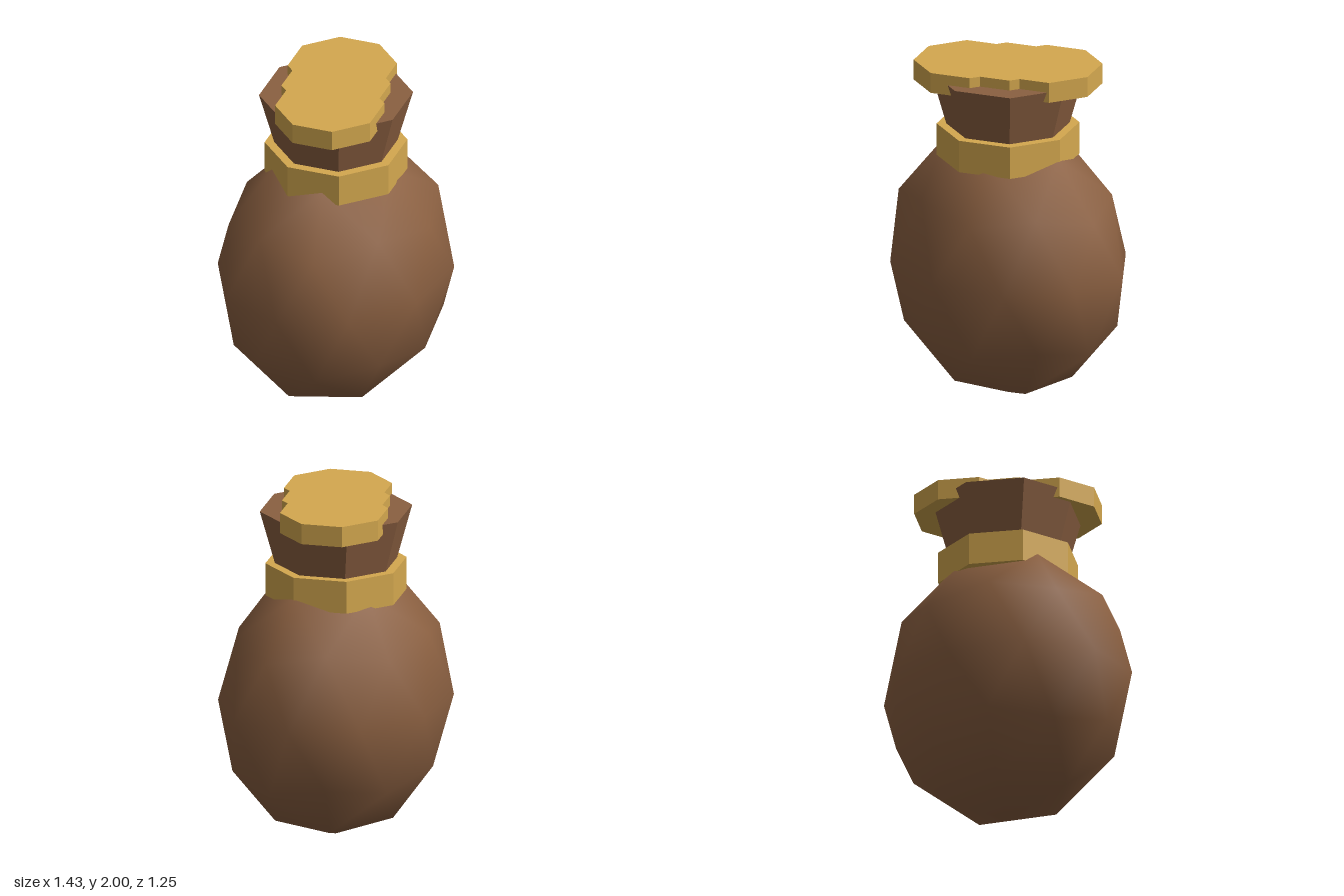
import * as THREE from 'three';

export function createModel() {
  const model = new THREE.Group();
  model.name = 'coinPouch';

  const leather = new THREE.MeshStandardMaterial({ color: 0x8b6041 });
  leather.name = 'brown leather';
  const gold = new THREE.MeshStandardMaterial({ color: 0xd4a84f });
  gold.name = 'gold';

  const add = (name, geometry, material, x = 0, y = 0, z = 0) => {
    const mesh = new THREE.Mesh(geometry, material);
    mesh.name = name;
    mesh.position.set(x, y, z);
    model.add(mesh);
  };

  // Octagonal prism or taper with corners on the axes and flat faces
  const octagon = (rTop, rBottom, height) => {
    const g = new THREE.CylinderGeometry(rTop, rBottom, height, 8).toNonIndexed();
    g.computeVertexNormals();
    return g;
  };

  // Round sack: icosphere turned to stand on a corner, smooth shaded
  const sack = new THREE.IcosahedronGeometry(1, 1);
  sack.rotateZ(-Math.atan(2 / (1 + Math.sqrt(5))));
  sack.scale(0.75, 0.815, 0.625);
  add('sack', sack, leather, 0, 0.815, 0);

  // Tie band around the throat
  add('tieBand', octagon(0.405, 0.405, 0.19), gold, 0, 1.535, 0);

  // Flared neck above the band
  add('neck', octagon(0.437, 0.32, 0.42), leather, 0, 1.73, 0);

  // Three overlapping coins filling the mouth on a diagonal
  for (const i of [-1, 0, 1]) {
    add('coin', octagon(0.31, 0.31, 0.12), gold, i * 0.19, 1.94, i * -0.127);
  }

  return model;
}
